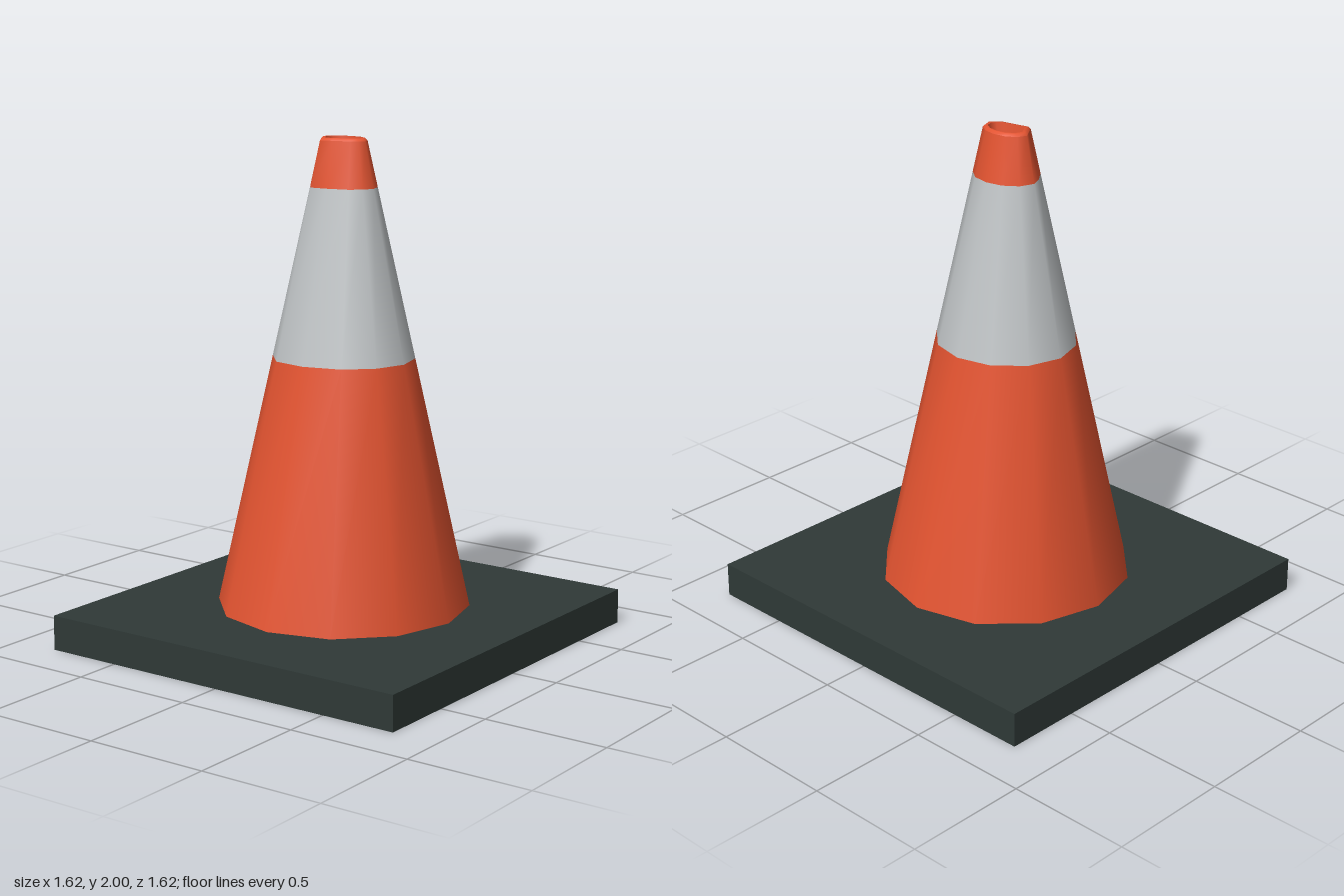
import * as THREE from 'three';

const mat = (name, color) => {
  const m = new THREE.MeshStandardMaterial({ color });
  m.name = name;
  return m;
};

const SIDES = 12, BASE_Y = 0.14, TOP_Y = 1.99, CX = 0.015;

// Slightly squashed mouth of the cone, as [x, z] going round from +x to +z
const MOUTH = [
  [0.08, 0], [0.072, 0.05], [0.047, 0.09], [0.01, 0.105], [-0.012, 0.09], [-0.032, 0.065],
  [-0.047, -0.01], [-0.058, -0.06], [-0.02, -0.085], [0.01, -0.105], [0.047, -0.09], [0.072, -0.05],
];

// Ring on the outer wall: regular at the foot, squashed at the mouth
function wallRing(y) {
  const t = (y - BASE_Y) / (TOP_Y - BASE_Y);
  return MOUTH.map(([mx, mz], i) => {
    const a = (i / SIDES) * Math.PI * 2;
    const x = THREE.MathUtils.lerp(CX + 0.505 * Math.cos(a), mx, t);
    const z = THREE.MathUtils.lerp(0.505 * Math.sin(a), mz, t);
    return [x, y, z];
  });
}

// Ring inside the mouth: the mouth outline scaled about its middle
const mouthRing = (y, s) => MOUTH.map(([x, z]) => [CX + (x - CX) * s, y, z * s]);

// Joins rings into a closed skin; each band takes its own material index
function loft(rings, bandMaterials) {
  const g = new THREE.BufferGeometry();
  const index = [];
  bandMaterials.forEach((m, r) => {
    g.addGroup(index.length, SIDES * 6, m);
    for (let i = 0; i < SIDES; i++) {
      const a = r * SIDES + i, b = r * SIDES + ((i + 1) % SIDES);
      index.push(a, a + SIDES, b, b, a + SIDES, b + SIDES);
    }
  });
  g.setAttribute('position', new THREE.Float32BufferAttribute(rings.flat(2), 3));
  g.setIndex(index);
  g.computeVertexNormals();
  return g;
}

export function createModel() {
  const group = new THREE.Group();
  group.name = 'trafficCone';
  const orange = mat('orange', 0xe25330);
  const grey = mat('reflectiveGrey', 0xbfc3c5);
  const dark = mat('darkRubber', 0x2f3937);

  const add = (name, geometry, material) => {
    const mesh = new THREE.Mesh(geometry, material);
    mesh.name = name;
    group.add(mesh);
  };

  // Square foot
  const foot = new THREE.BoxGeometry(1.62, BASE_Y, 1.62);
  foot.translate(0, BASE_Y / 2, 0);
  add('basePlate', foot, dark);

  // Outer wall with the reflective band
  add('coneWall', loft([BASE_Y, 1.14, 1.81, TOP_Y].map(wallRing), [0, 1, 0]), [orange, grey]);

  // Narrow rim, then the hollow going down inside
  add('rim', loft([mouthRing(TOP_Y, 1), mouthRing(2, 0.9), mouthRing(2, 0.78)], [0, 0]), [orange]);
  add('hollow', loft(
    [mouthRing(2, 0.78), mouthRing(1.81, 0.4), mouthRing(1.66, 0)], [0, 1]), [orange, grey]);

  return group;
}
